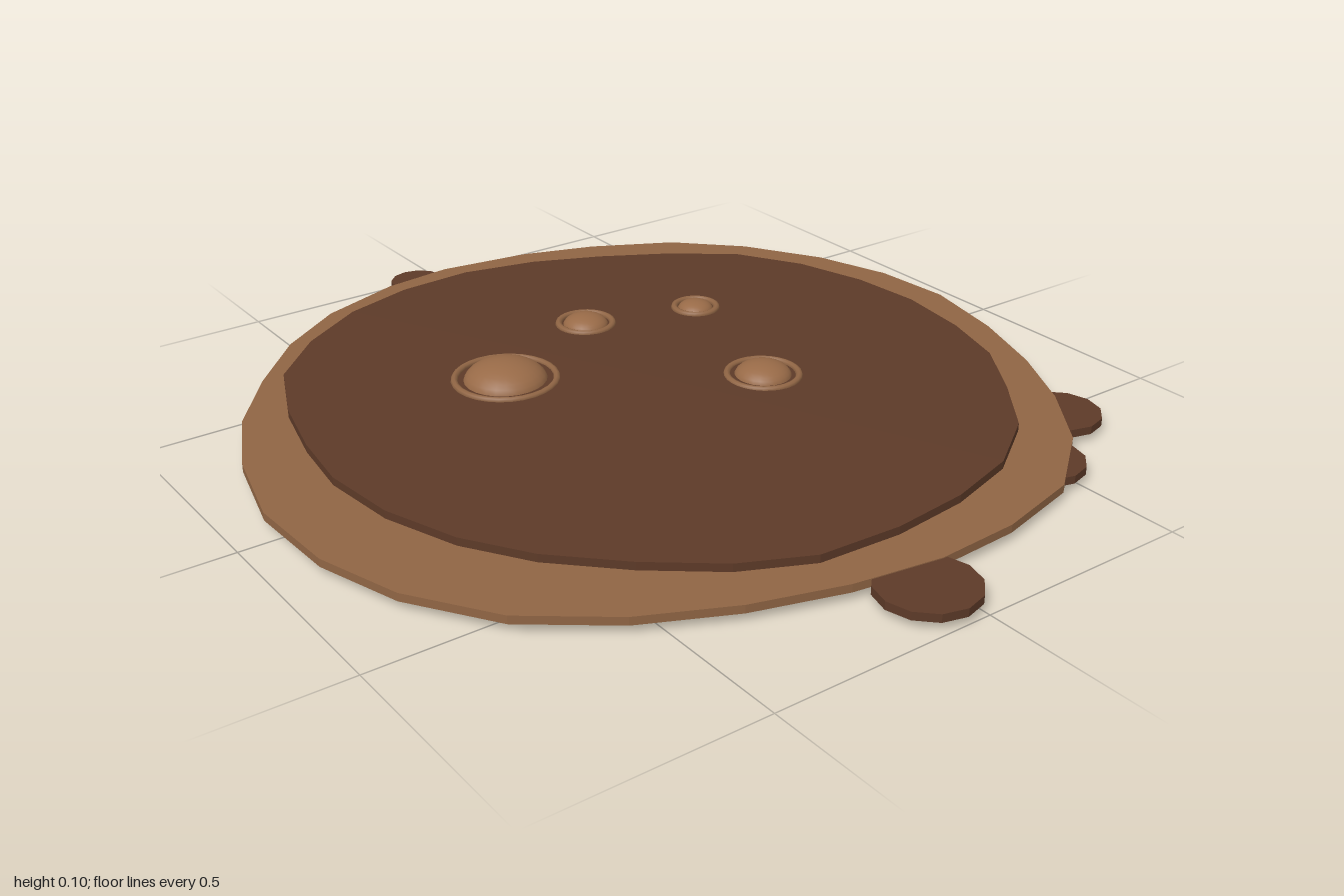
import * as THREE from 'three';

const rimColor = new THREE.MeshStandardMaterial({ name: 'wetMudLight', color: 0x906544 });
const mudColor = new THREE.MeshStandardMaterial({ name: 'mudDark', color: 0x5d3a28 });
const bubbleColor = new THREE.MeshStandardMaterial({ name: 'bubbleBrown', color: 0x986a47 });

// Outlines as x, z pairs, running from the back round by the left (+x) side
const rimOutline = [
  0, -.95, .22, -.92, .40, -.86, .59, -.76, .73, -.62, .84, -.44, .90, -.26,
  .915, -.07, .87, .14, .80, .33, .71, .50, .59, .66, .42, .79, .22, .84,
  .03, .85, -.17, .82, -.37, .76, -.56, .67, -.73, .54, -.85, .36, -.91, .17,
  -.92, -.05, -.87, -.26, -.79, -.44, -.67, -.60, -.53, -.75, -.37, -.86, -.17, -.93,
];
const mudOutline = [
  .01, -.86, .19, -.82, .35, -.75, .51, -.66, .65, -.55, .74, -.40, .79, -.23,
  .805, -.06, .78, .12, .73, .28, .63, .43, .52, .57, .37, .67, .20, .72,
  .02, .74, -.17, .73, -.32, .66, -.46, .55, -.59, .42, -.68, .28, -.74, .11,
  -.76, -.07, -.74, -.23, -.70, -.40, -.63, -.57, -.50, -.70, -.34, -.80, -.17, -.85,
];

// Flat-shaded slab with a top that rises to a centre point
function slab(outline, bottom, top, peak, cx, cz) {
  const positions = [];
  const n = outline.length / 2;
  for (let i = 0; i < n; i++) {
    const j = (i + 1) % n;
    const [ax, az, bx, bz] = [outline[2 * i], outline[2 * i + 1], outline[2 * j], outline[2 * j + 1]];
    positions.push(cx, peak, cz, bx, top, bz, ax, top, az);
    positions.push(cx, bottom, cz, ax, bottom, az, bx, bottom, bz);
    positions.push(ax, bottom, az, ax, top, az, bx, top, bz);
    positions.push(ax, bottom, az, bx, top, bz, bx, bottom, bz);
  }
  const geometry = new THREE.BufferGeometry();
  geometry.setAttribute('position', new THREE.Float32BufferAttribute(positions, 3));
  geometry.computeVertexNormals();
  return geometry;
}

export function createModel() {
  const model = new THREE.Group();
  model.name = 'mudPuddle';
  const add = (name, geometry, material, x = 0, y = 0, z = 0) => {
    const mesh = new THREE.Mesh(geometry, material);
    mesh.name = name;
    mesh.position.set(x, y, z);
    model.add(mesh);
    return mesh;
  };

  // Puddle layers
  add('rim', slab(rimOutline, .02, .038, .038, 0, 0), rimColor);
  add('mudSurface', slab(mudOutline, .037, .056, .066, .02, -.06), mudColor);

  // Splashes round the edge: x, z, radius
  const splashes = [[-.055, .895, .105], [.665, .55, .095], [.47, .68, .095], [-.09, -.93, .067]];
  splashes.forEach(([x, z, r], i) => {
    const geometry = new THREE.CylinderGeometry(r, r, .018, 12).toNonIndexed();
    geometry.computeVertexNormals();
    add(`splash${i + 1}`, geometry, mudColor, x, .027, z);
  });

  // Bubbles, each inside a ripple ring: x, z, bubble radius, ring radius, centre height
  const bubbles = [
    [-.245, -.25, .095, .114, .053],
    [.07, -.40, .054, .064, .056],
    [.34, -.325, .043, .051, .056],
    [.23, .07, .065, .081, .057],
  ];
  bubbles.forEach(([x, z, r, ring, y], i) => {
    const bubble = add(`bubble${i + 1}`, new THREE.SphereGeometry(r, 24, 16), bubbleColor, x, y, z);
    bubble.scale.y = .55;
    const ripple = add(`rippleRing${i + 1}`, new THREE.TorusGeometry(ring, .008, 8, 28), rimColor, x, .062, z);
    ripple.rotation.x = -Math.PI / 2;
  });

  return model;
}
